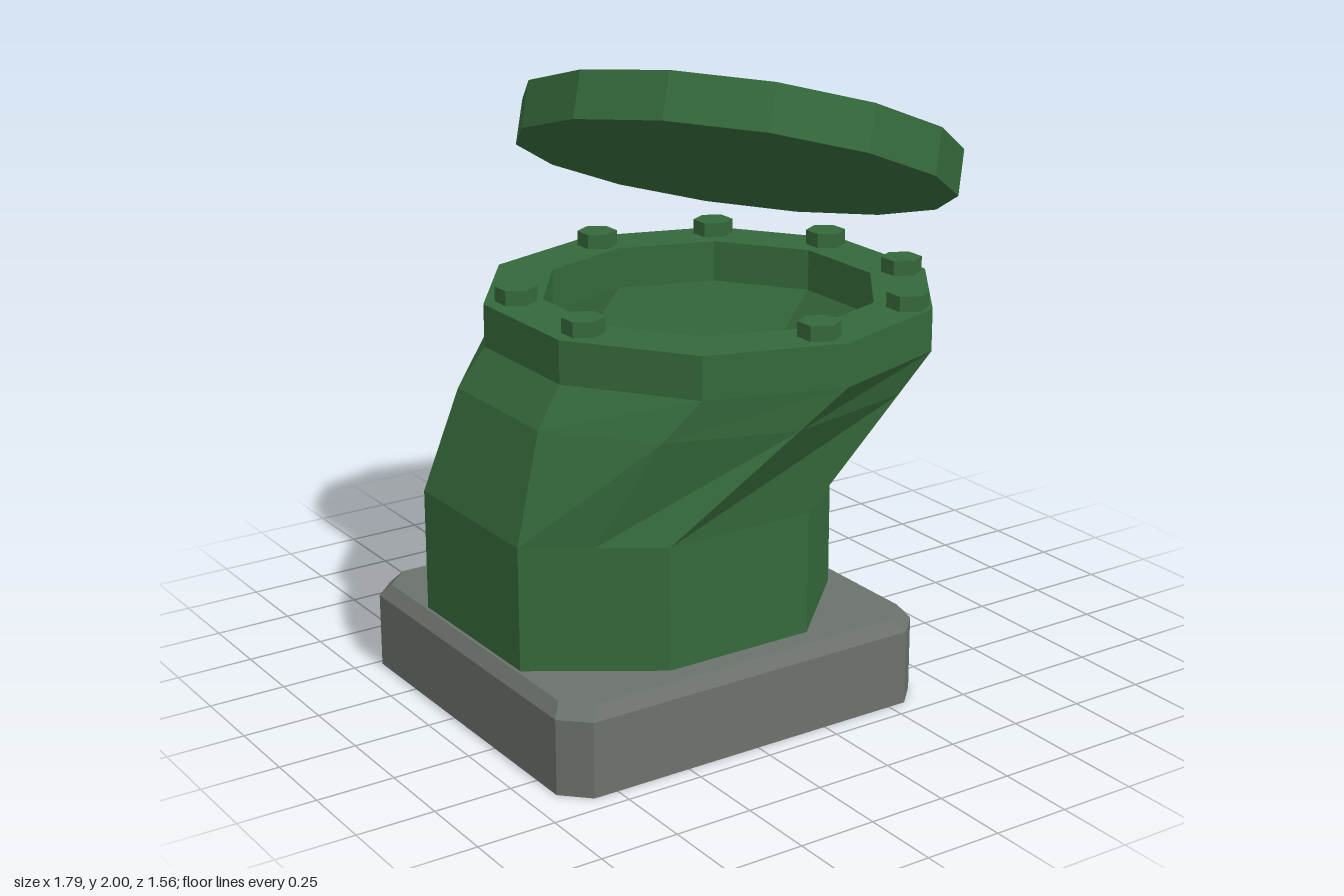
import * as THREE from 'three';

const green = new THREE.MeshStandardMaterial({ color: 0x35693b });
green.name = 'pipe green';
const gray = new THREE.MeshStandardMaterial({ color: 0x6b716b });
gray.name = 'concrete gray';

// Regular ring of n points around (cx, cz) at height y
function ring(n, r, y, cx = 0, cz = 0, offset = 0.5) {
  return Array.from({ length: n }, (_, i) => {
    const a = ((i + offset) / n) * Math.PI * 2;
    return new THREE.Vector3(cx + Math.cos(a) * r, y, cz + Math.sin(a) * r);
  });
}

// Faceted skin through a list of rings, with optional end caps; keep(row, i)
// chooses which panels are built, rising(i) which way a panel is folded
function loft(rings, { capStart = false, capEnd = false, keep = () => true, rising = () => false } = {}) {
  const pts = [];
  const n = rings[0].length;
  for (let r = 0; r < rings.length - 1; r++) {
    for (let i = 0; i < n; i++) {
      if (!keep(r, i)) continue;
      const j = (i + 1) % n;
      const a = rings[r][i], b = rings[r][j], d = rings[r + 1][i], e = rings[r + 1][j];
      if (rising(i)) pts.push(a, d, e, a, e, b);
      else pts.push(a, d, b, b, d, e);
    }
  }
  const cap = (loop, up) => {
    for (let i = 1; i < n - 1; i++) {
      if (up) pts.push(loop[0], loop[i + 1], loop[i]);
      else pts.push(loop[0], loop[i], loop[i + 1]);
    }
  };
  if (capStart) cap(rings[0], false);
  if (capEnd) cap(rings[rings.length - 1], true);
  const geo = new THREE.BufferGeometry().setFromPoints(pts);
  geo.computeVertexNormals();
  return geo;
}

function part(parent, name, geo, mat) {
  const mesh = new THREE.Mesh(geo, mat);
  mesh.name = name;
  parent.add(mesh);
  return mesh;
}

// Square with chamfered corners for the base
function baseRing(y, inset) {
  const x = 0.65 - inset, z = 0.625 - inset, c = 0.08;
  const q = [[x, z - c], [x - c, z], [c - x, z], [-x, z - c], [-x, c - z], [c - x, -z], [x - c, -z], [x, c - z]];
  return q.map(([px, pz]) => new THREE.Vector3(px - 0.26, y, pz + 0.065));
}

// Octagonal lower pipe section, with two extra points to match the ten-sided flange
function pipeRing(y, s = 1) {
  const half = [[0.585, 0.24], [0.285, 0.53], [-0.215, 0.53], [-0.4, 0.4075], [-0.585, 0.285]];
  const back = half.map(([x, z]) => [x, -z]).reverse();
  return [...half, ...back].map(([x, z]) => new THREE.Vector3(x * s - 0.285, y, z * s + 0.06));
}

export function createModel() {
  const model = new THREE.Group();
  model.name = 'openPipe';

  // Base block with a bevelled top
  part(model, 'base', loft([baseRing(0, 0), baseRing(0.24, 0), baseRing(0.28, 0.03)],
    { capStart: true, capEnd: true }), gray);

  // Leaning pipe: outside, flange, rim, hollow inside and floor in one skin
  const lower = pipeRing(0.67);
  const flange = ring(10, 0.715, 1.12, 0, 0.06);
  const middle = lower.map((p, i) => {
    const m = p.clone().lerp(flange[i], 0.73);
    if (i >= 3 && i <= 6) m.x -= 0.035;
    return m;
  });
  const skin = [pipeRing(0.27), lower, middle, flange, ring(10, 0.715, 1.255, 0, 0.06),
    ring(10, 0.53, 1.255, 0, 0.06), ring(10, 0.53, 1.12, 0, 0.06), pipeRing(0.67, 0.8), pipeRing(0.29, 0.8)];
  const isLining = (row, i) => row === 6 && (i === 4 || i === 5);
  const rising = (i) => i === 0 || (i >= 5 && i <= 7);
  part(model, 'pipe', loft(skin, { capEnd: true, keep: (r, i) => !isLining(r, i), rising }), green);
  part(model, 'innerLining', loft(skin, { keep: isLining, rising }), gray);

  // Hexagonal bolts around the flange
  const boltGeo = new THREE.CylinderGeometry(0.065, 0.065, 0.055, 6).toNonIndexed();
  boltGeo.computeVertexNormals();
  const bolts = new THREE.Group();
  bolts.name = 'flangeBolts';
  model.add(bolts);
  for (const [x, z] of [[-0.58, 0.195], [-0.03, 0.61], [0.37, 0.52], [0.6, 0.2]]) {
    for (const side of [1, -1]) {
      part(bolts, 'bolt', boltGeo, green).position.set(x, 1.275, 0.06 + side * z);
    }
  }

  // Tilted lid with a recessed top
  const lid = new THREE.Group();
  lid.name = 'lid';
  lid.position.set(0.21, 1.642, -0.088);
  lid.quaternion.setFromUnitVectors(new THREE.Vector3(0, 1, 0),
    new THREE.Vector3(0.33, 0.91, -0.25).normalize());
  model.add(lid);
  const lidRing = (r, y) => ring(14, r, y, 0, 0, 0.6);
  part(lid, 'lidDisc', loft([lidRing(0.705, -0.075), lidRing(0.705, 0.075),
    lidRing(0.57, 0.075), lidRing(0.57, 0.037)], { capStart: true, capEnd: true }), green);

  // Three hollow nuts across the lid
  const nutRing = (r, y) => ring(6, r, y, 0, 0, 0.2);
  const nutGeo = loft([nutRing(0.108, 0.03), nutRing(0.108, 0.087), nutRing(0.093, 0.102),
    nutRing(0.052, 0.102), nutRing(0.048, 0.037)]);
  for (const [x, z] of [[-0.215, 0.08], [-0.03, 0], [0.15, -0.075]]) {
    part(lid, 'nut', nutGeo, green).position.set(x, 0, z);
  }
  return model;
}
